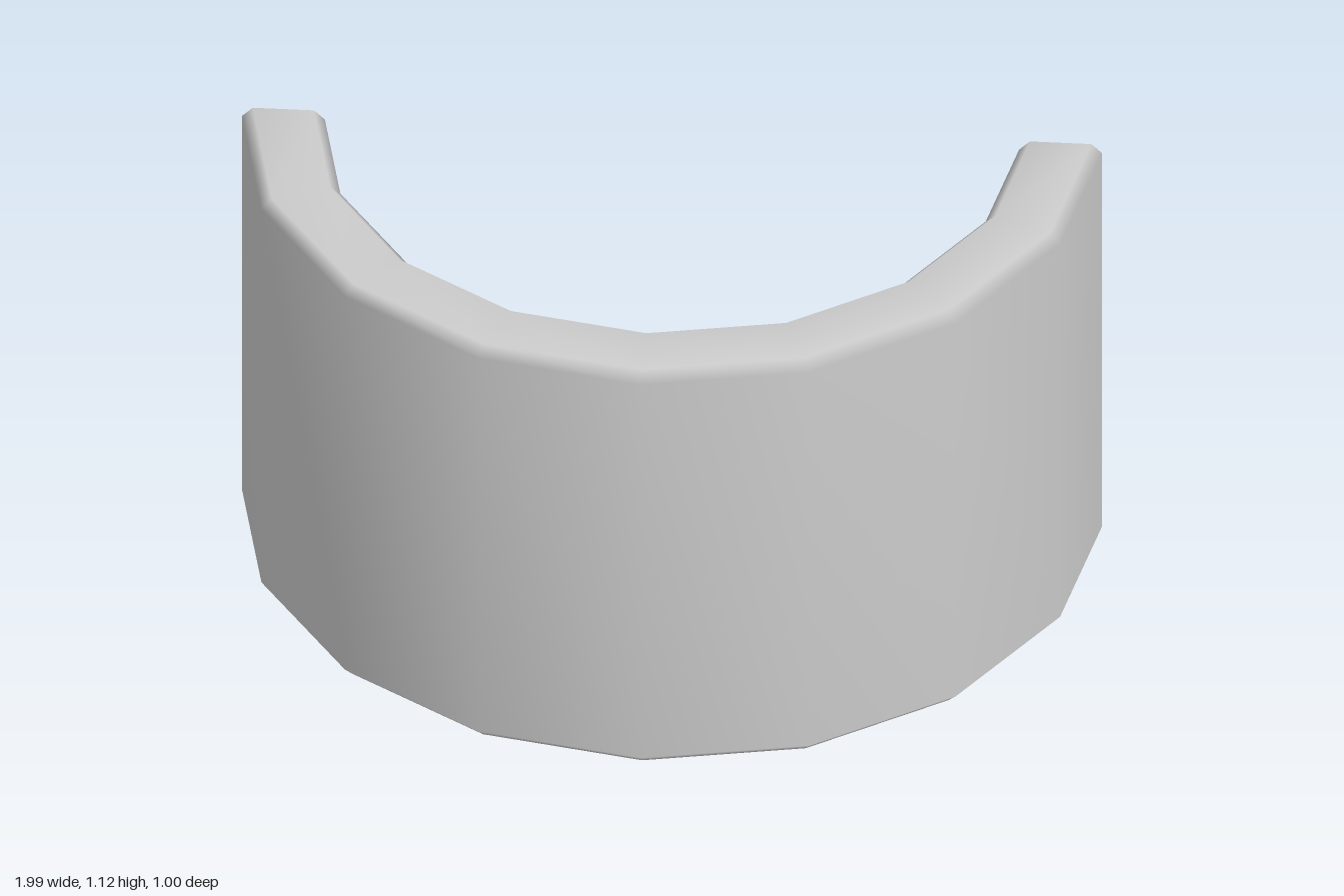
import * as THREE from 'three';

const OUTER = 1, INNER = 0.808, HEIGHT = 1.12, BEVEL = 0.025, SEGMENTS = 8, BACK = -0.5;

// Chamfered rectangle swept round a half circle, with chamfered flat ends.
function halfRingGeometry() {
  const ro = OUTER - BEVEL, ri = INNER + BEVEL, top = HEIGHT - BEVEL;
  // Wall section as [radius, height], two points per corner
  const section = [
    [ro, 0], [OUTER, BEVEL], [OUTER, top], [ro, HEIGHT],
    [ri, HEIGHT], [INNER, top], [INNER, BEVEL], [ri, 0],
  ];
  // End face section: each corner pair meets in one point
  const endCorners = [[ro, BEVEL], [ro, top], [ri, top], [ri, BEVEL]];
  const endSection = section.map((_, j) => endCorners[j >> 1]);
  const n = section.length, step = Math.PI / SEGMENTS;
  const positions = [], index = [];

  const endRing = (side) => endSection.forEach(([r, y]) => positions.push(side * r, y, BACK));
  // Ring just inside an end, lying on the first straight wall segment
  const insetRing = (side) => section.forEach(([r, y]) => {
    const t = BEVEL / (r * Math.sin(step));
    positions.push(side * r * (1 - t * (1 - Math.cos(step))), y, BACK + BEVEL);
  });

  endRing(1);
  insetRing(1);
  for (let i = 1; i < SEGMENTS; i++) {
    const a = i * step;
    for (const [r, y] of section) positions.push(r * Math.cos(a), y, BACK + r * Math.sin(a));
  }
  insetRing(-1);
  endRing(-1);

  const last = SEGMENTS + 2;
  const id = (i, j) => i * n + (i === 0 || i === last ? (j % n) & ~1 : j % n);
  const tri = (a, b, c) => {
    if (a !== b && b !== c && c !== a) index.push(a, b, c);
  };
  for (let i = 0; i < last; i++) {
    for (let j = 0; j < n; j++) {
      const a = id(i, j), b = id(i, j + 1), c = id(i + 1, j + 1), d = id(i + 1, j);
      tri(a, b, c);
      tri(a, c, d);
    }
  }
  // Flat end faces
  tri(id(0, 0), id(0, 6), id(0, 4));
  tri(id(0, 0), id(0, 4), id(0, 2));
  tri(id(last, 0), id(last, 2), id(last, 4));
  tri(id(last, 0), id(last, 4), id(last, 6));

  const geometry = new THREE.BufferGeometry();
  geometry.setAttribute('position', new THREE.Float32BufferAttribute(positions, 3));
  geometry.setIndex(index);
  geometry.computeVertexNormals(); // area weighted, so the chamfers blend softly
  return geometry;
}

export function createModel() {
  const group = new THREE.Group();
  group.name = 'halfRing';
  const wall = new THREE.Mesh(
    halfRingGeometry(),
    new THREE.MeshStandardMaterial({ color: 0xcccccc }),
  );
  wall.name = 'curvedWall';
  group.add(wall);
  return group;
}
